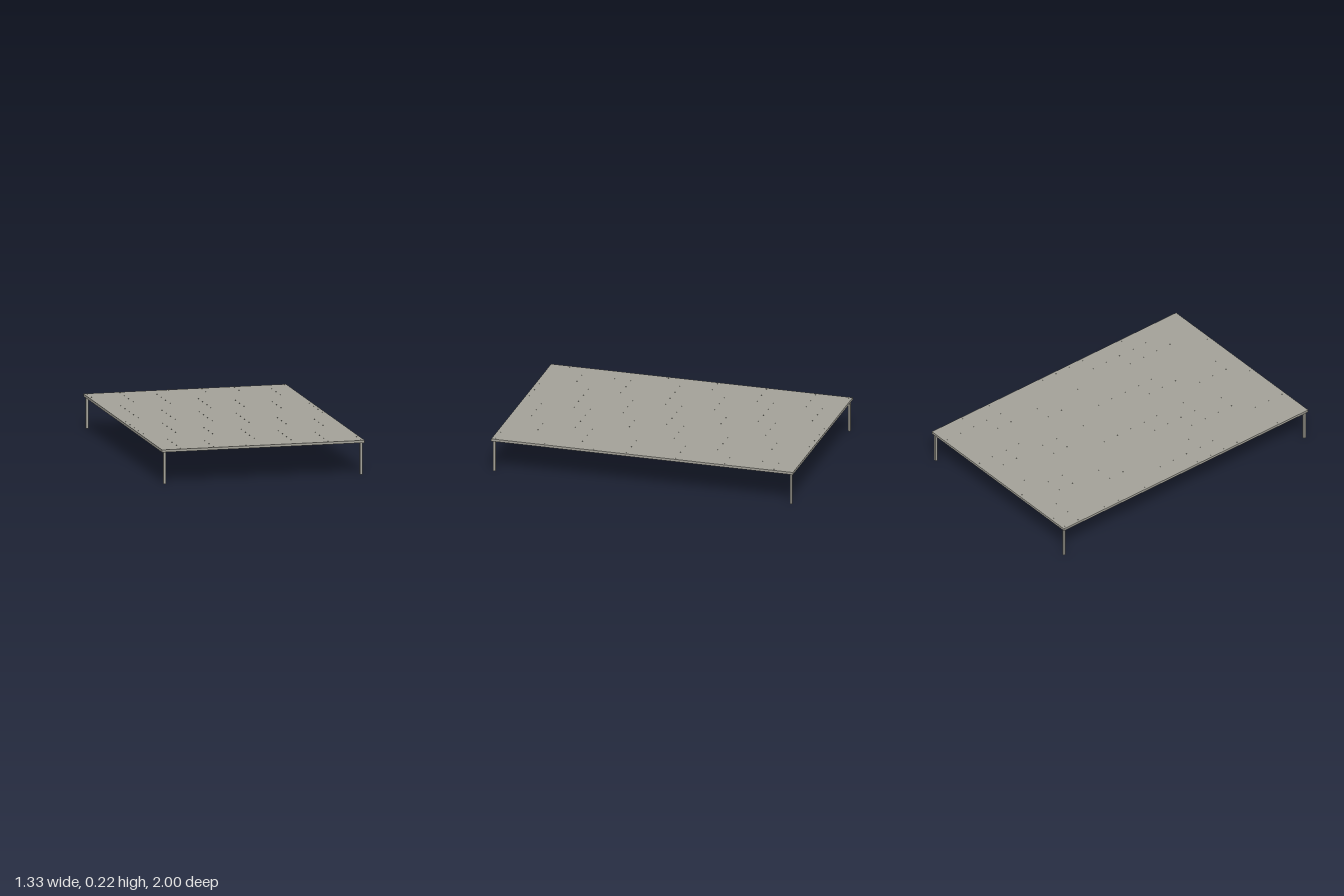
import * as THREE from 'three';
import { mergeGeometries } from 'three/addons/utils/BufferGeometryUtils.js';

const WIDTH = 1.33, LENGTH = 2, TOP = 0.222, THICK = 0.016;
const LEG = 0.015, LEG_X = 0.645, LEG_Z = 0.983;

export function createModel() {
  const group = new THREE.Group();
  const material = new THREE.MeshStandardMaterial({ color: 0xa3a198 });

  const add = (name, geometry, x, y, z) => {
    const mesh = new THREE.Mesh(geometry, material);
    mesh.name = name;
    mesh.position.set(x, y, z);
    group.add(mesh);
  };

  // Thin rectangular deck
  add('deck', new THREE.BoxGeometry(WIDTH, THICK, LENGTH), 0, TOP - THICK / 2, 0);

  // Four slim square legs set just inside the corners
  const legHeight = TOP - THICK;
  const leg = new THREE.BoxGeometry(LEG, legHeight, LEG);
  for (const [end, z] of [['front', LEG_Z], ['back', -LEG_Z]]) {
    for (const [side, x] of [['Left', LEG_X], ['Right', -LEG_X]]) {
      add(`${end}${side}Leg`, leg, x, legHeight / 2, z);
    }
  }

  // Regular grid of tiny, almost flush fastener heads
  const heads = [];
  for (let i = -6; i <= 6; i++) {
    for (let j = -9; j <= 9; j++) {
      heads.push(new THREE.CylinderGeometry(0.003, 0.003, 0.001, 8)
        .translate(i * 0.1075, 0, j * 0.1085));
    }
  }
  add('deckFasteners', mergeGeometries(heads), 0, TOP + 0.0005, 0);

  return group;
}
